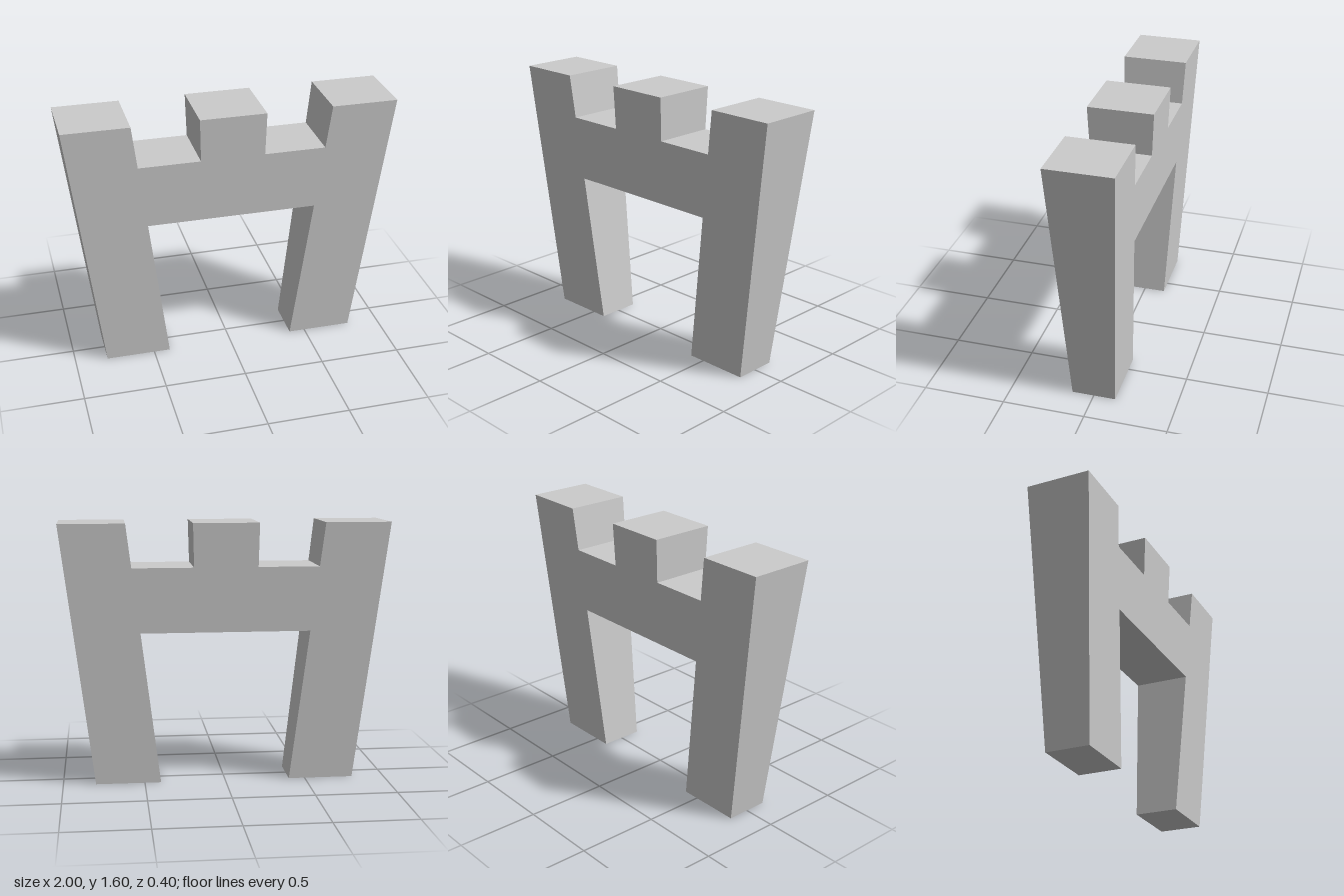
import * as THREE from 'three';

export function createModel() {
  const group = new THREE.Group();
  group.name = 'battlementedArch';

  const height = 1.6, notchY = 1.335, beamY = 0.94;
  const halfDepth = (y) => 0.133 + (0.2 - 0.133) * (y / height);

  // Right half of the outline, from the inner leg foot round to the middle merlon
  const half = [
    [0.517, beamY], [0.4, 0], [0.8, 0], [1, height],
    [0.6, height], [0.567, notchY], [0.194, notchY], [0.2, height],
  ];
  const mirrored = half.map(([x, y]) => [-x, y]).reverse();
  const outline = [...half, ...mirrored].map(([x, y]) => new THREE.Vector2(x, y));

  // Extrude to unit half-depth, then taper the thickness towards the feet
  const geometry = new THREE.ExtrudeGeometry(new THREE.Shape(outline), {
    depth: 2, bevelEnabled: false,
  });
  geometry.translate(0, 0, -1);
  const pos = geometry.attributes.position;
  for (let i = 0; i < pos.count; i++) {
    pos.setZ(i, pos.getZ(i) * halfDepth(pos.getY(i)));
  }
  geometry.computeVertexNormals();

  // Legs, crossbeam and merlons form one solid body
  const body = new THREE.Mesh(
    geometry,
    new THREE.MeshStandardMaterial({ color: 0xcccccc, flatShading: true }),
  );
  body.name = 'archBody';
  group.add(body);
  return group;
}
